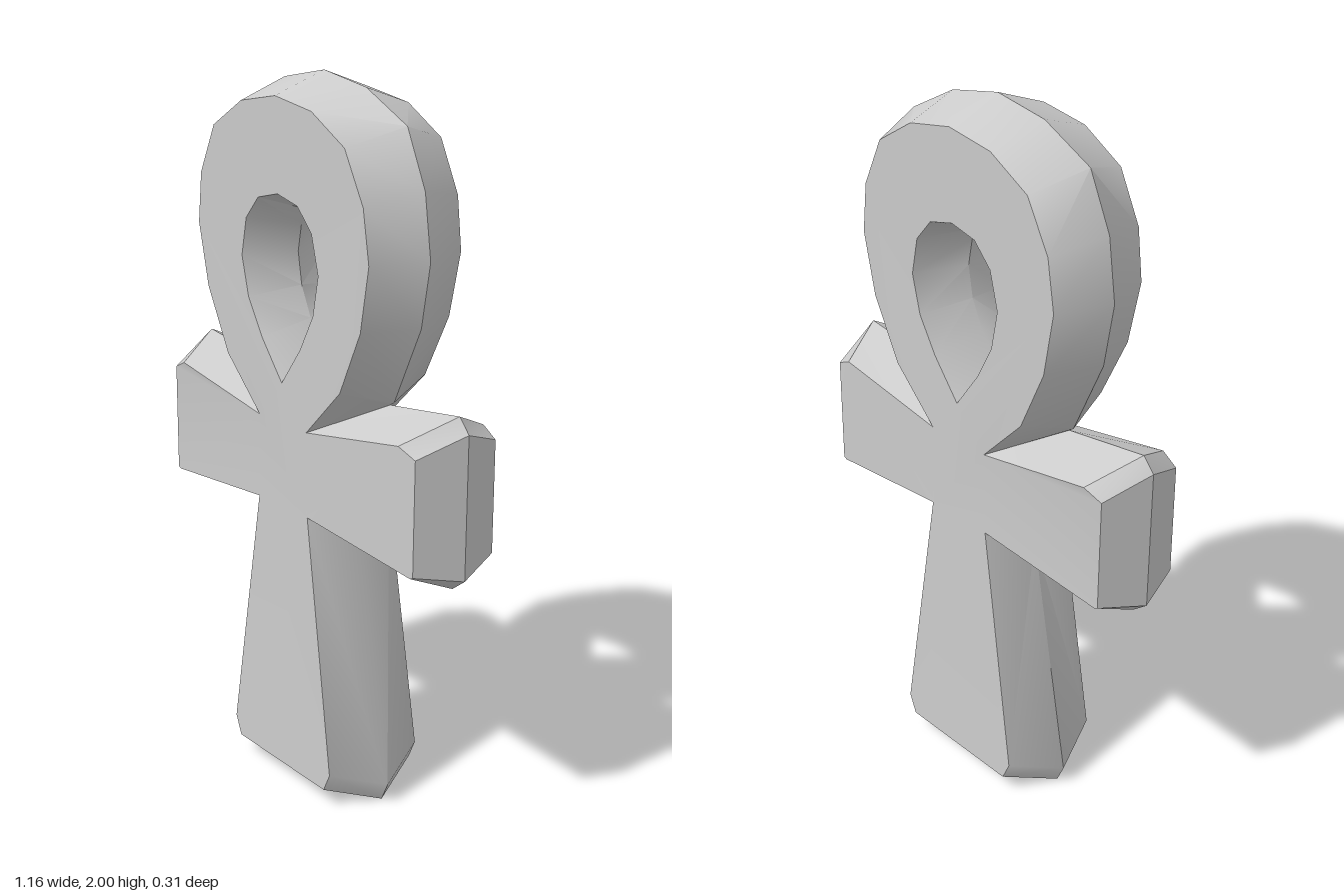
import * as THREE from 'three';
import { toCreasedNormals } from 'three/addons/utils/BufferGeometryUtils.js';

// Right half of each outline, top to bottom: [ridge x, ridge y, face x, face y]
const OUTER = [
  // loop
  [0, 2, 0, 1.945], [0.17, 1.97, 0.15, 1.92], [0.33, 1.89, 0.28, 1.845],
  [0.4, 1.74, 0.35, 1.71], [0.425, 1.57, 0.37, 1.57], [0.395, 1.395, 0.335, 1.395],
  [0.295, 1.18, 0.25, 1.22], [0.28, 1.17, 0.105, 1.077],
  // arm
  [0.545, 1.205, 0.48, 1.14], [0.58, 1.165, 0.535, 1.115],
  [0.58, 0.775, 0.535, 0.805], [0.535, 0.74, 0.525, 0.8],
  // leg
  [0.155, 0.775, 0.11, 0.838], [0.29, 0.055, 0.225, 0.11], [0.265, 0, 0.2, 0.055],
];
const HOLE = [
  [0, 1.645, 0, 1.697], [0.065, 1.63, 0.085, 1.677], [0.1, 1.585, 0.142, 1.615],
  [0.115, 1.51, 0.167, 1.51], [0.1, 1.42, 0.142, 1.4], [0.06, 1.335, 0.085, 1.3],
  [0, 1.26, 0, 1.19],
];

// Closed clockwise outline from its right half
const mirrored = (half) => [
  ...half,
  ...half.filter((p) => p[0] > 0).reverse().map(([a, b, c, d]) => [-a, b, -c, d]),
];

// The body is slightly thicker towards the top and the foot, thinner at the arm tips
const depth = (x, y) =>
  0.142 + 0.018 * Math.max(0, Math.abs(y - 1) - 0.1) - (Math.abs(x) > 0.5 ? 0.008 : 0);

export function createModel() {
  const outer = mirrored(OUTER);
  const hole = mirrored(HOLE).reverse();
  const material = new THREE.MeshStandardMaterial({ color: 0xcccccc });
  const group = new THREE.Group();
  group.name = 'loopedCross';

  const face = (p, side) => [p[2], p[3], side * depth(p[2], p[3])];
  const ridge = (p) => [p[0], p[1], 0];

  const addMesh = (name, triangles) => {
    const geometry = new THREE.BufferGeometry();
    geometry.setAttribute('position', new THREE.Float32BufferAttribute(triangles.flat(2), 3));
    const mesh = new THREE.Mesh(toCreasedNormals(geometry, 0.6), material);
    mesh.name = name;
    group.add(mesh);
  };

  // Turn triangles round on the back half
  const wind = (t, side) => (side > 0 ? t : [t[0], t[2], t[1]]);

  // Sloping bands from the central ridge to both flat faces
  const bevel = (ring) => {
    const triangles = [];
    for (const side of [1, -1]) {
      ring.forEach((p, i) => {
        const q = ring[(i + 1) % ring.length];
        const [a, b, c, d] = [face(p, side), face(q, side), ridge(q), ridge(p)];
        triangles.push(wind([a, b, c], side), wind([a, c, d], side));
      });
    }
    return triangles;
  };
  addMesh('outerBevel', bevel(outer));
  addMesh('holeBevel', bevel(hole));

  // Front and back faces with the teardrop opening
  const flat = (ring) => ring.map((p) => new THREE.Vector2(p[2], p[3]));
  const indices = THREE.ShapeUtils.triangulateShape(flat(outer), [flat(hole)]);
  const points = [...outer, ...hole];
  for (const [name, side] of [['frontFace', 1], ['backFace', -1]]) {
    addMesh(name, indices.map((tri) => {
      const t = tri.map((i) => face(points[i], side));
      const [a, b, c] = t;
      const area = (b[0] - a[0]) * (c[1] - a[1]) - (b[1] - a[1]) * (c[0] - a[0]);
      return area * side > 0 ? t : [a, c, b];
    }));
  }
  return group;
}
